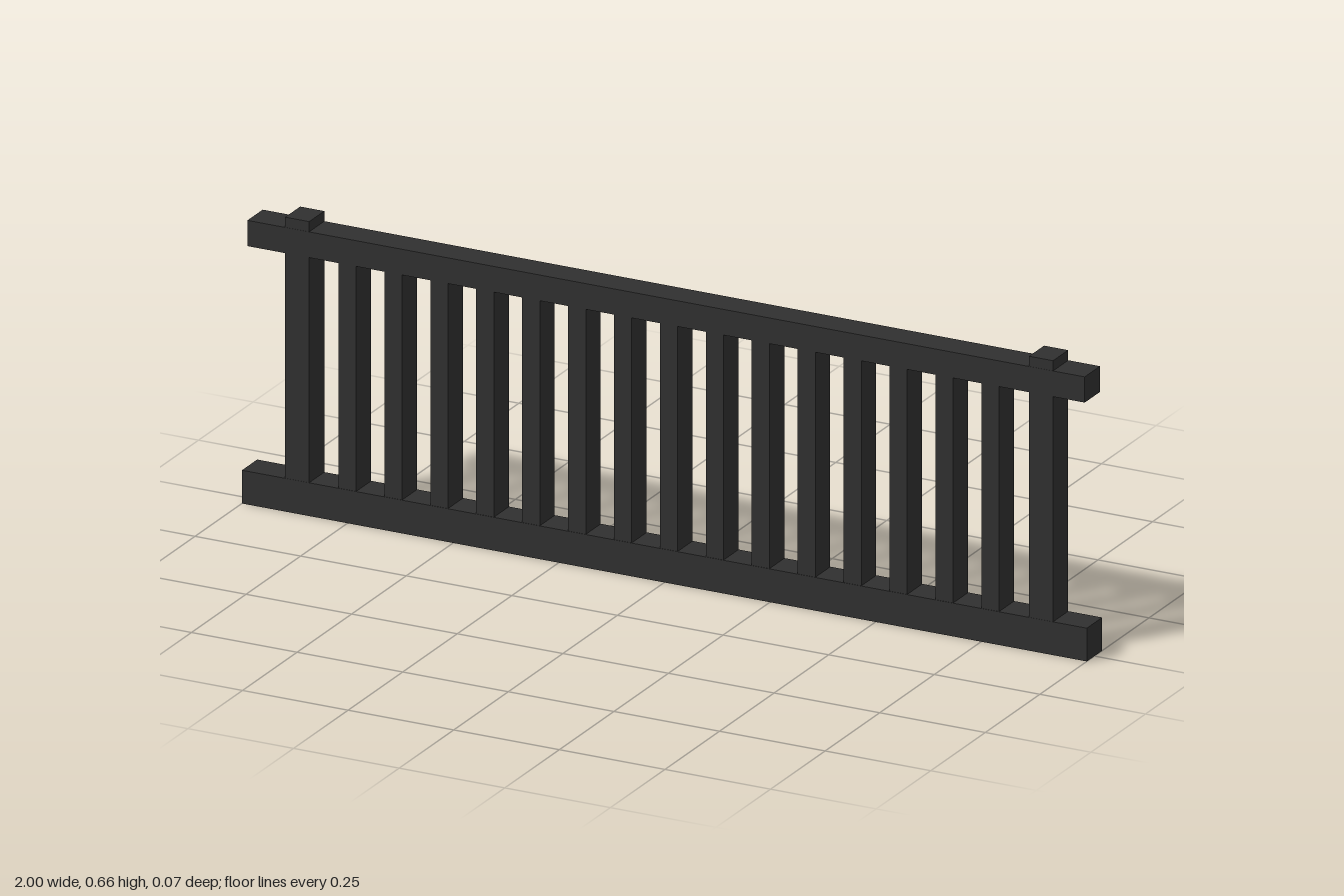
import * as THREE from 'three';

export function createModel() {
  const group = new THREE.Group();
  group.name = 'railing';
  const darkMetal = new THREE.MeshStandardMaterial({ color: 0x303030 });
  darkMetal.name = 'dark metal';

  // Box given by its x and y extents, centred on z = 0
  function bar(name, x0, x1, y0, y1, depth) {
    const mesh = new THREE.Mesh(new THREE.BoxGeometry(x1 - x0, y1 - y0, depth), darkMetal);
    mesh.position.set((x0 + x1) / 2, (y0 + y1) / 2, 0);
    mesh.name = name;
    group.add(mesh);
  }

  // Horizontal rails
  bar('bottomRail', -1, 1, 0, 0.075, 0.07);
  bar('topRail', -0.987, 0.995, 0.583, 0.641, 0.07);

  // End posts, rising just above the top rail
  bar('rightPost', -0.898, -0.841, 0.075, 0.664, 0.069);
  bar('leftPost', 0.863, 0.92, 0.075, 0.664, 0.069);

  // Evenly spaced balusters between the rails
  const count = 15, first = -0.751, spacing = 0.1087, halfWidth = 0.021;
  for (let i = 0; i < count; i++) {
    const x = first + i * spacing;
    bar('baluster' + (i + 1), x - halfWidth, x + halfWidth, 0.075, 0.583, 0.068);
  }
  return group;
}
